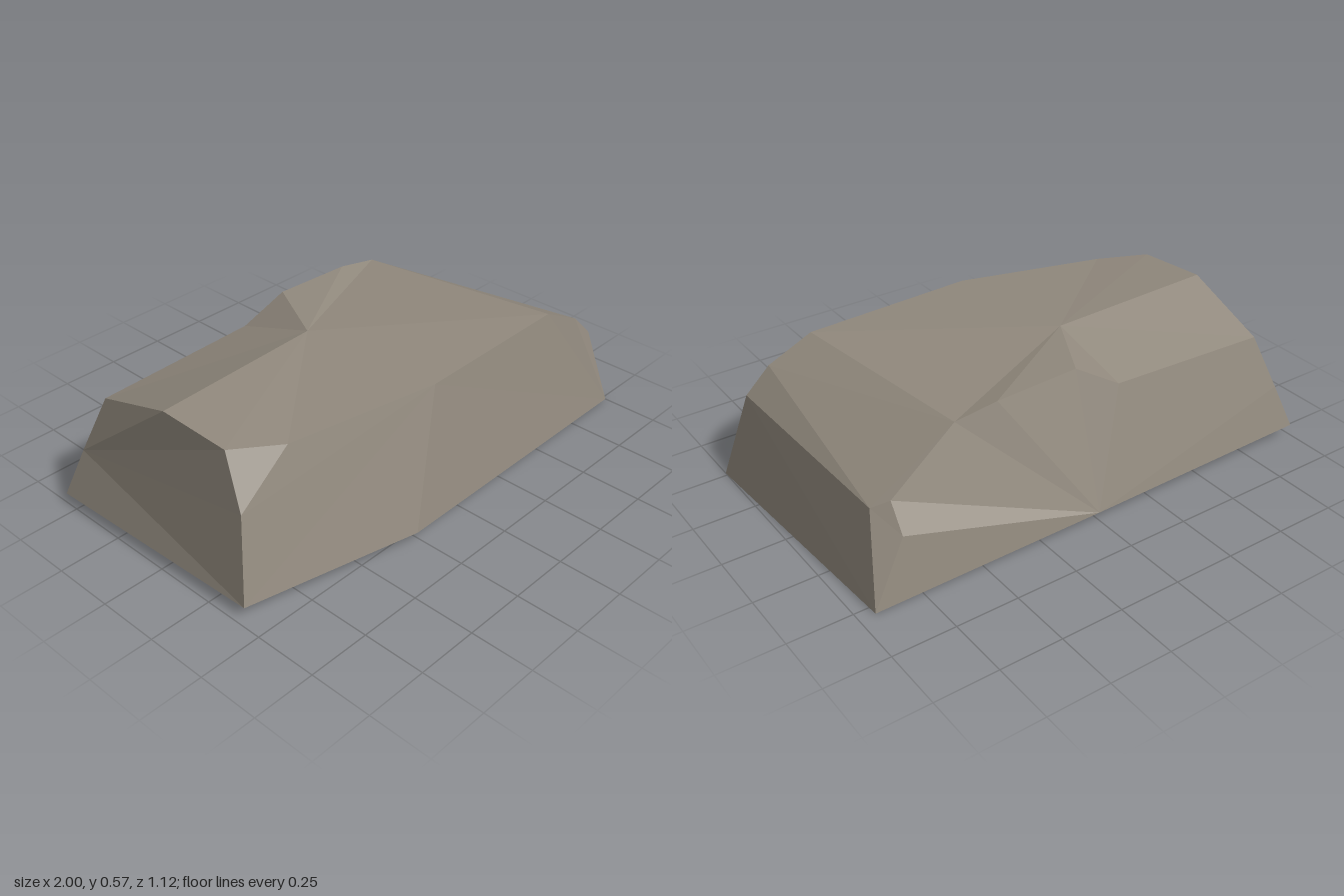
import * as THREE from 'three';

// Corner points of the boulder
const P = {
  // base ring
  a: [-1, 0.045, -0.555], b: [-0.97, 0.045, 0.4], c: [-0.27, 0.045, 0.56],
  d: [1, 0, 0.515], e: [0.94, 0.005, -0.545], f: [0, 0.035, -0.565],
  // shoulder points on the flanks
  v: [-0.93, 0.23, -0.51], w: [-0.9, 0.36, 0.33], x: [0.8, 0.245, -0.51],
  // crown ring
  g: [-0.87, 0.57, -0.08], h: [-0.86, 0.55, 0.22], i: [-0.68, 0.535, 0.33],
  j: [-0.08, 0.55, 0.46], k: [0.62, 0.54, 0.44], l: [0.8, 0.45, 0.45],
  m: [0.9, 0.35, 0.455], n: [0.86, 0.32, -0.4], o: [0.8, 0.35, -0.44],
  p: [0.51, 0.527, -0.39], q: [0.34, 0.555, -0.4], r: [0, 0.57, -0.4],
  s: [-0.15, 0.57, -0.11],
  // lower rim of the chipped corner
  t: [-0.17, 0.47, -0.44], u: [-0.85, 0.45, -0.445],
};

// Each facet lists its corners counter-clockwise and is split as a fan from the first
const FACETS = {
  plateau: ['sghijkpqr'],
  chippedCorner: ['ugst', 'tsr'],
  endSlope: ['pklno', 'lmn'],
  rightEnd: ['mden'],
  backFace: ['nex', 'nxo', 'frqpoxe', 'favutr'],
  leftEnd: ['vabwhgu'],
  frontFace: ['jiwbc', 'wih', 'dmlkjc'],
  underside: ['cbafed'],
};

function facetGeometry(polygons) {
  const positions = [];
  for (const poly of polygons) {
    for (let n = 1; n < poly.length - 1; n++) {
      positions.push(...P[poly[0]], ...P[poly[n]], ...P[poly[n + 1]]);
    }
  }
  const geometry = new THREE.BufferGeometry();
  geometry.setAttribute('position', new THREE.Float32BufferAttribute(positions, 3));
  geometry.computeVertexNormals();
  return geometry;
}

export function createModel() {
  const stone = new THREE.MeshStandardMaterial({ color: 0x928a7e });
  stone.name = 'stone';
  stone.flatShading = true;

  const boulder = new THREE.Group();
  boulder.name = 'boulder';
  for (const [name, polygons] of Object.entries(FACETS)) {
    const mesh = new THREE.Mesh(facetGeometry(polygons), stone);
    mesh.name = name;
    boulder.add(mesh);
  }
  return boulder;
}
